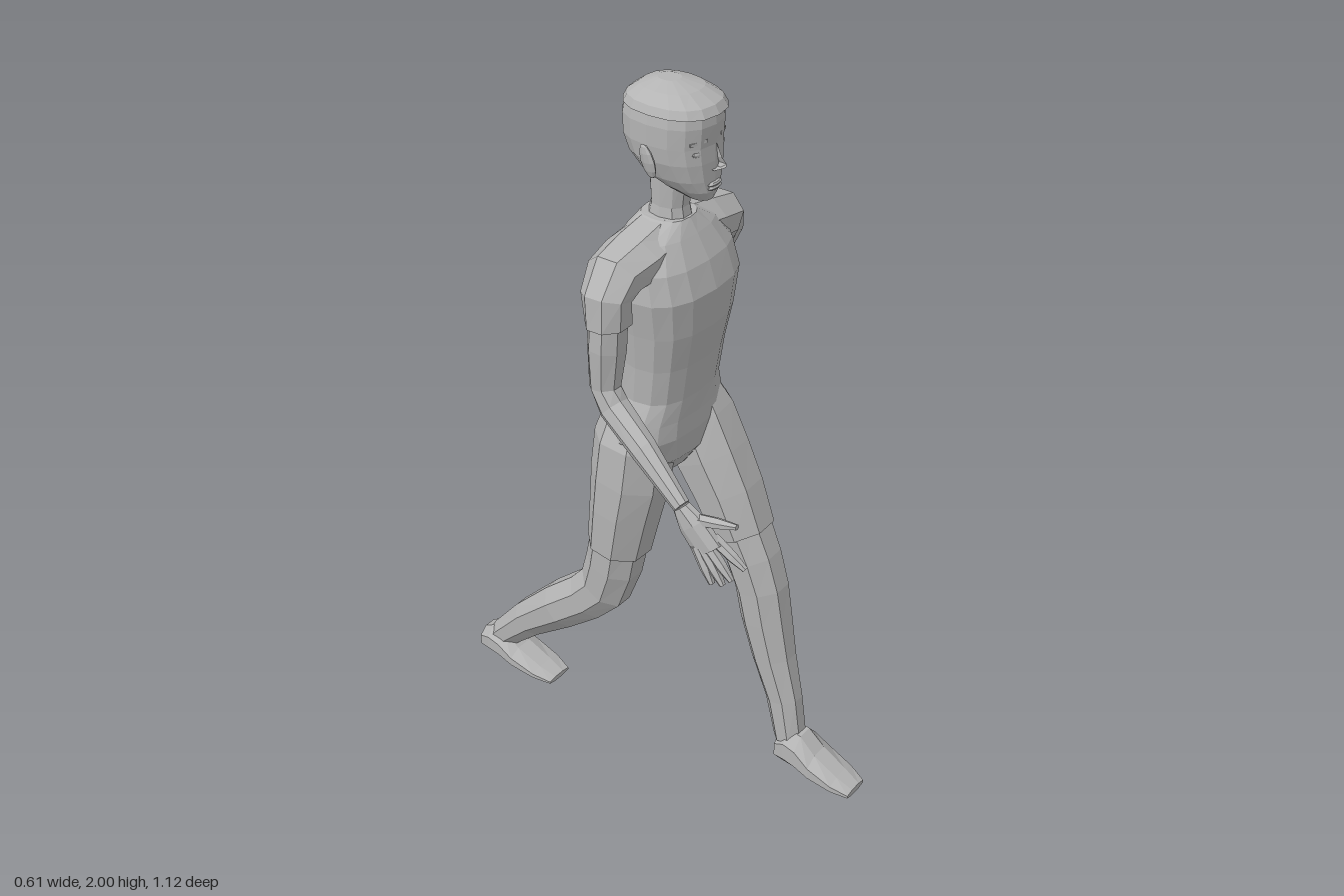
import * as THREE from 'three';

const grey = new THREE.MeshStandardMaterial({ color: 0xb4b4b4 });
grey.name = 'plain grey';
const V = (x, y, z) => new THREE.Vector3(x, y, z);
const X = V(1, 0, 0), Y = V(0, 1, 0), Z = V(0, 0, 1);

// Faceted mesh with one normal per face
function part(name, geo, parent) {
  const g = geo.index ? geo.toNonIndexed() : geo;
  g.computeVertexNormals();
  const m = new THREE.Mesh(g, grey);
  m.name = name;
  parent.add(m);
  return m;
}

// Closed skin through rings of points that run counter-clockwise about the path
function loft(rings) {
  const pos = [], n = rings[0].length;
  const tri = (...p) => p.forEach(v => pos.push(v.x, v.y, v.z));
  const mid = r => r.reduce((s, v) => s.add(v), V(0, 0, 0)).divideScalar(n);
  const first = rings[0], last = rings[rings.length - 1];
  const c0 = mid(first), c1 = mid(last);
  for (let j = 0; j < n; j++) {
    const k = (j + 1) % n;
    for (let i = 0; i < rings.length - 1; i++) {
      const a = rings[i], b = rings[i + 1];
      tri(a[j], a[k], b[k]);
      tri(a[j], b[k], b[j]);
    }
    tri(c0, first[k], first[j]);
    tri(c1, last[j], last[k]);
  }
  const g = new THREE.BufferGeometry();
  g.setAttribute('position', new THREE.Float32BufferAttribute(pos, 3));
  return g;
}

// Limb through stations [x, y, z, half width, half depth]; ref sets the width axis
function limb(stations, ref, dir, n = 8) {
  const c = stations.map(s => V(s[0], s[1], s[2]));
  return loft(stations.map((s, i) => {
    const t = dir ? dir.clone()
      : c[Math.min(i + 1, c.length - 1)].clone().sub(c[Math.max(i - 1, 0)]).normalize();
    const u = ref.clone().addScaledVector(t, -ref.dot(t)).normalize();
    const v = t.clone().cross(u);
    const k = 1 / Math.cos(Math.PI / n);
    return Array.from({ length: n }, (_, j) => {
      const a = (j + 0.5) / n * Math.PI * 2;
      return c[i].clone().addScaledVector(u, Math.cos(a) * s[3] * k)
        .addScaledVector(v, Math.sin(a) * s[4] * k);
    });
  }));
}

// Upright body through levels [y, half width, front z, back z]
function body(levels, n, power) {
  const round = v => Math.sign(v) * Math.abs(v) ** power;
  return loft(levels.map(([y, w, f, b]) => Array.from({ length: n }, (_, j) => {
    const a = -j / n * Math.PI * 2;
    return V(w * round(Math.cos(a)), y, (f + b) / 2 + (f - b) / 2 * round(Math.sin(a)));
  })));
}

// Shoe with a flat sole: heel at z, length l, ankle height h
function foot(name, x, y, z, l, h, parent) {
  const rows = [[0, 0.75, 0.04], [0.14, 1, 0.049], [0.3, 0.95, 0.053],
    [0.5, 0.62, 0.058], [0.8, 0.32, 0.054], [1, 0.15, 0.04]];
  part(name, limb(rows.map(([t, k, w]) => [x, y + h * k / 2, z + l * t, w, h * k / 2]), X, Z), parent);
}

// Palm, four fingers and a thumb
function hand(side, wrist, tips, thumb, parent) {
  const g = new THREE.Group();
  g.name = side + 'Hand';
  parent.add(g);
  const w = V(...wrist);
  const mean = tips.reduce((s, t) => s.add(V(...t)), V(0, 0, 0)).divideScalar(tips.length);
  const at = t => w.clone().lerp(mean, t).toArray();
  part('palm', limb([[...wrist, 0.024, 0.018], [...at(0.25), 0.042, 0.02], [...at(0.6), 0.046, 0.016]], Z), g);
  tips.forEach(tip => {
    const t = V(...tip), p = w.clone().lerp(t, 0.5), q = w.clone().lerp(t, 0.8);
    part('finger', limb([[...p.toArray(), 0.015, 0.014], [...q.toArray(), 0.013, 0.012],
      [...tip, 0.007, 0.007]], Z, null, 6), g);
  });
  const e = V(...thumb), s = w.clone().lerp(mean, 0.15), m = s.clone().lerp(e, 0.6);
  part('thumb', limb([[...s.toArray(), 0.014, 0.014], [...m.toArray(), 0.014, 0.012],
    [...thumb, 0.007, 0.006]], X, null, 6), g);
}

export function createModel() {
  const model = new THREE.Group();
  model.name = 'walkingFigure';

  // Trunk and neck
  part('torso', body([
    [0.96, 0.07, 0.05, -0.06], [1.02, 0.15, 0.09, -0.1], [1.09, 0.182, 0.1, -0.112],
    [1.14, 0.17, 0.1, -0.108], [1.2, 0.143, 0.105, -0.095], [1.3, 0.147, 0.12, -0.09],
    [1.4, 0.16, 0.14, -0.095], [1.5, 0.178, 0.148, -0.1], [1.57, 0.172, 0.125, -0.095],
    [1.63, 0.13, 0.09, -0.08], [1.665, 0.062, 0.068, -0.058]], 16, 0.8), model);
  part('neck', body([[1.63, 0.05, 0.07, -0.055], [1.69, 0.042, 0.058, -0.038],
    [1.79, 0.045, 0.07, -0.045]], 10, 0.9), model);

  // Head
  const head = new THREE.Group();
  head.name = 'head';
  model.add(head);
  part('skull', body([
    [1.73, 0.026, 0.128, 0.06], [1.755, 0.052, 0.138, 0.0], [1.785, 0.076, 0.138, -0.05],
    [1.83, 0.094, 0.138, -0.085], [1.87, 0.1, 0.136, -0.1], [1.92, 0.101, 0.14, -0.102],
    [1.95, 0.096, 0.136, -0.096], [1.98, 0.07, 0.1, -0.065]], 16, 0.85), head);
  part('hairCap', body([
    [1.945, 0.102, 0.148, -0.1], [1.965, 0.094, 0.135, -0.09], [1.987, 0.066, 0.09, -0.06],
    [2.0, 0.025, 0.035, -0.02]], 16, 0.85), head);
  part('nose', limb([[0, 1.872, 0.13, 0.007, 0.008], [0, 1.835, 0.142, 0.011, 0.012],
    [0, 1.82, 0.147, 0.017, 0.018], [0, 1.81, 0.138, 0.012, 0.01]], X, Y, 6), head);
  for (const y of [1.774, 1.765]) {
    const lip = part('lip', new THREE.SphereGeometry(1, 8, 4), head);
    lip.scale.set(0.026, 0.006, 0.009);
    lip.position.set(0, y, 0.137);
  }
  for (const s of [-1, 1]) {
    const eye = part('eye', new THREE.SphereGeometry(1, 8, 6), head);
    eye.scale.set(0.018, 0.009, 0.008);
    eye.position.set(s * 0.045, 1.857, 0.12);
    eye.rotation.y = s * 0.4;
    const brow = part('brow', new THREE.BoxGeometry(0.045, 0.007, 0.009), head);
    brow.position.set(s * 0.045, 1.885, 0.122);
    brow.rotation.set(0, s * 0.4, -s * 0.1);
    const ear = part('ear', new THREE.SphereGeometry(1, 8, 6), head);
    ear.scale.set(0.01, 0.044, 0.026);
    ear.position.set(s * 0.105, 1.835, 0.025);
    ear.rotation.set(-0.15, s * 0.3, -s * 0.15);
  }

  // Shoulders with short sleeves; the left one swings back
  const sleeve = (s, back) => limb([
    [s * 0.04, 1.6, 0.0, 0.075, 0.066], [s * 0.13, 1.588, 0.0, 0.078, 0.06],
    [s * 0.2, 1.575, 0.0, 0.068, 0.058], [s * 0.235, 1.535, -back * 0.4, 0.06, 0.05],
    [s * 0.232, 1.465, -back, 0.054, 0.054]], Z);
  part('leftSleeve', sleeve(1, 0.045), model);
  part('rightSleeve', sleeve(-1, -0.005), model);

  // Arms
  part('leftArm', limb([
    [0.23, 1.52, -0.02, 0.045, 0.045], [0.232, 1.42, -0.07, 0.045, 0.046],
    [0.245, 1.32, -0.118, 0.038, 0.035], [0.252, 1.25, -0.138, 0.038, 0.036],
    [0.265, 1.14, -0.15, 0.033, 0.026], [0.279, 1.0, -0.152, 0.022, 0.016]], Z), model);
  part('rightArm', limb([
    [-0.23, 1.52, 0.005, 0.045, 0.045], [-0.233, 1.4, 0.0, 0.045, 0.046],
    [-0.237, 1.29, -0.005, 0.038, 0.034], [-0.24, 1.24, 0.025, 0.038, 0.034],
    [-0.262, 1.175, 0.13, 0.034, 0.028], [-0.286, 1.08, 0.262, 0.022, 0.017]], Z), model);
  hand('left', [0.28, 1.0, -0.152],
    [[0.292, 0.835, -0.105], [0.292, 0.805, -0.135], [0.295, 0.8, -0.163], [0.297, 0.82, -0.188]],
    [0.27, 0.875, -0.065], model);
  hand('right', [-0.287, 1.08, 0.262],
    [[-0.272, 0.965, 0.44], [-0.285, 0.925, 0.41], [-0.29, 0.905, 0.388], [-0.295, 0.9, 0.36]],
    [-0.275, 1.08, 0.415], model);

  // Legs: left forward, right back, both with a cuff above the knee
  part('leftThigh', limb([
    [0.085, 1.16, -0.015, 0.06, 0.08], [0.1, 1.06, 0.008, 0.09, 0.105],
    [0.106, 0.95, 0.06, 0.092, 0.103], [0.112, 0.85, 0.112, 0.088, 0.094],
    [0.116, 0.735, 0.16, 0.082, 0.085]], X), model);
  part('leftLowerLeg', limb([
    [0.116, 0.78, 0.142, 0.075, 0.078], [0.12, 0.66, 0.195, 0.069, 0.074],
    [0.122, 0.57, 0.225, 0.064, 0.07], [0.123, 0.47, 0.243, 0.06, 0.068],
    [0.123, 0.35, 0.272, 0.052, 0.06], [0.122, 0.22, 0.312, 0.041, 0.05],
    [0.122, 0.09, 0.338, 0.04, 0.043]], X), model);
  foot('leftFoot', 0.122, 0, 0.312, 0.246, 0.13, model);

  part('rightThigh', limb([
    [-0.085, 1.16, -0.025, 0.06, 0.075], [-0.1, 1.06, -0.025, 0.09, 0.1],
    [-0.106, 0.95, -0.035, 0.092, 0.1], [-0.11, 0.85, -0.05, 0.088, 0.09],
    [-0.114, 0.72, -0.07, 0.08, 0.08]], X), model);
  part('rightLowerLeg', limb([
    [-0.114, 0.77, -0.062, 0.074, 0.073], [-0.118, 0.65, -0.085, 0.067, 0.073],
    [-0.12, 0.56, -0.115, 0.06, 0.07], [-0.122, 0.5, -0.17, 0.059, 0.066],
    [-0.123, 0.42, -0.265, 0.06, 0.064], [-0.123, 0.31, -0.39, 0.048, 0.052],
    [-0.122, 0.21, -0.485, 0.04, 0.042], [-0.122, 0.18, -0.51, 0.038, 0.035]], X), model);
  foot('rightFoot', -0.122, 0.13, -0.557, 0.262, 0.095, model);

  return model;
}
